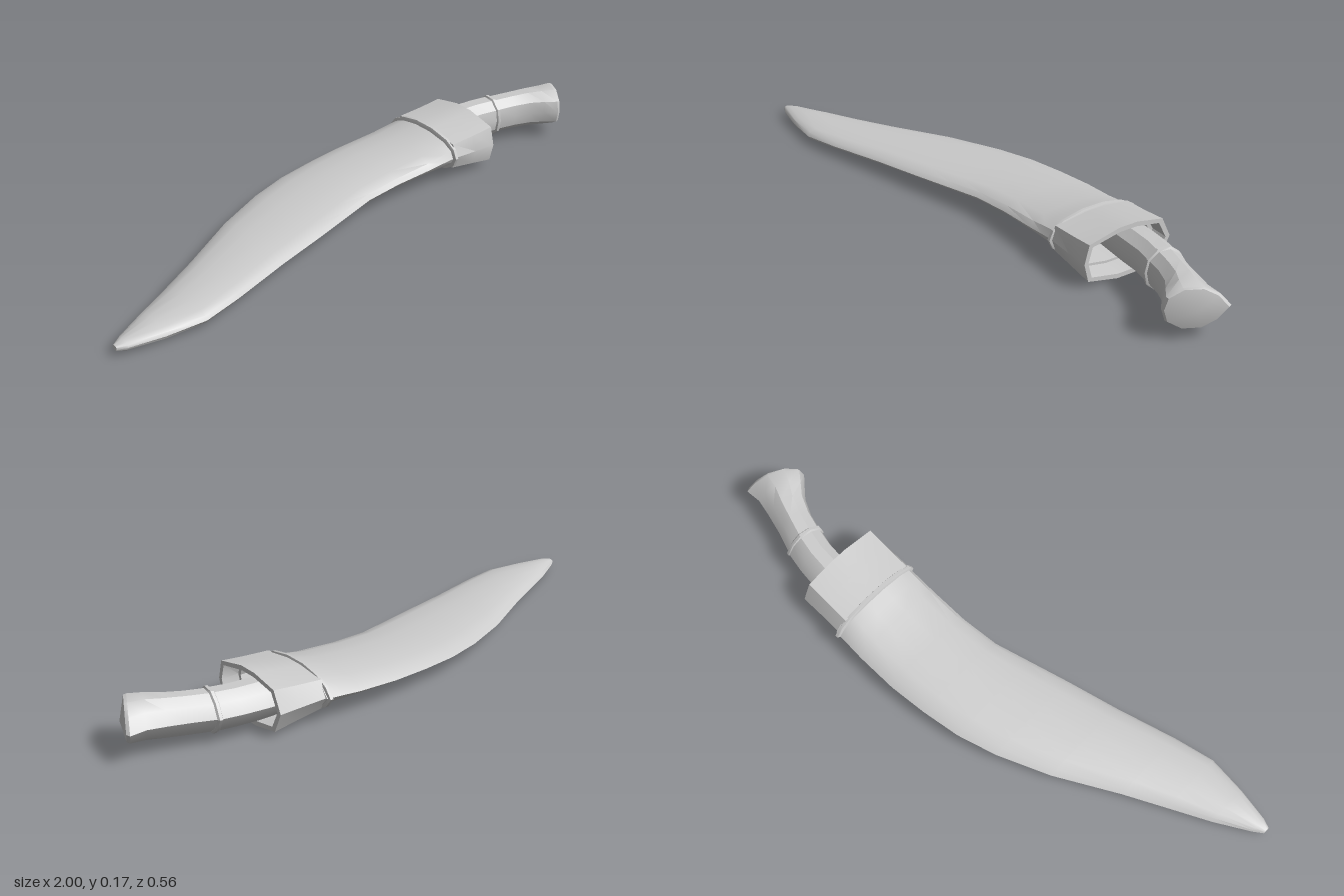
import * as THREE from 'three';
import { toCreasedNormals } from 'three/addons/utils/BufferGeometryUtils.js';

// Half profiles as [u, v]: u runs from front edge (1) to back edge (-1), v is half thickness
const mirror = (half) => [...half, ...half.slice(1, -1).reverse().map(([u, v]) => [u, -v])];
const LENS = mirror([[1, 0], [0.92, 0.45], [0.7, 0.78], [0.25, 1], [-0.2, 1], [-0.6, 0.8], [-0.85, 0.48], [-1, 0]]);
const MOUTH = mirror([[1, 0], [0.9, 0.72], [0.22, 1], [-0.2, 1], [-0.8, 0.78], [-1, 0]]);
const GRIP = mirror([[1, 0], [0.88, 0.6], [0.42, 1], [-0.18, 1], [-0.65, 0.62], [-1, 0]]);

// Loft through stations [xBack, zBack, xFront, zFront, yBottom, yTop], capped at both ends
function loft(profile, stations, crease = 0.6, bulge = 0) {
  const n = profile.length;
  const pos = [];
  const idx = [];
  for (const [xb, zb, xf, zf, y0, y1] of stations) {
    for (const [u, v] of profile) {
      const t = (u + 1) / 2;
      pos.push(xb + (xf - xb) * t, (y0 + y1) / 2 + v * (y1 - y0) / 2, zb + (zf - zb) * t);
    }
  }
  for (let i = 0; i < stations.length - 1; i++) {
    for (let j = 0; j < n; j++) {
      const a = i * n + j;
      const b = i * n + (j + 1) % n;
      idx.push(a, a + n, b, b, a + n, b + n);
    }
  }
  const last = stations.length - 1;
  for (const s of [0, last]) {
    const [xb, zb, xf, zf, y0, y1] = stations[s];
    const c = pos.length / 3;
    pos.push((xb + xf) / 2 + (s ? bulge : 0), (y0 + y1) / 2, (zb + zf) / 2 + (s ? bulge / 2 : 0));
    for (let j = 0; j < n; j++) {
      const a = s * n + j;
      const b = s * n + (j + 1) % n;
      if (s) idx.push(c, b, a);
      else idx.push(c, a, b);
    }
  }
  const g = new THREE.BufferGeometry();
  g.setAttribute('position', new THREE.Float32BufferAttribute(pos, 3));
  g.setIndex(idx);
  return toCreasedNormals(g, crease);
}

// Station square to the x axis
const at = (x, zb, zf, y0, y1) => [x, zb, x, zf, y0, y1];

export function createModel() {
  const group = new THREE.Group();
  const material = new THREE.MeshStandardMaterial({ color: 0xcccccc });
  const add = (name, geometry) => {
    const mesh = new THREE.Mesh(geometry, material);
    mesh.name = name;
    group.add(mesh);
  };

  // Curved sheath, from the thin tip to the collar
  add('sheath', loft(LENS, [
    at(-1, 0.212, 0.235, 0.018, 0.034),
    at(-0.97, 0.19, 0.247, 0.01, 0.042),
    at(-0.86, 0.125, 0.266, 0.004, 0.051),
    at(-0.73, 0.058, 0.276, 0.006, 0.058),
    at(-0.6, -0.01, 0.245, 0.012, 0.065),
    at(-0.4, -0.125, 0.185, 0.021, 0.075),
    at(-0.23, -0.2, 0.14, 0.028, 0.083),
    at(-0.1, -0.24, 0.103, 0.032, 0.09),
    at(0.03, -0.262, 0.066, 0.035, 0.098),
    at(0.16, -0.276, 0.052, 0.038, 0.107),
    at(0.3, -0.278, 0.05, 0.04, 0.12),
    at(0.36, -0.276, 0.05, 0.037, 0.134),
    at(0.42, -0.274, 0.05, 0.032, 0.148),
  ]));

  // Bead around the foot of the collar
  add('collarBead', loft(LENS, [
    at(0.4, -0.275, 0.05, 0.031, 0.147),
    at(0.404, -0.284, 0.06, 0.02, 0.157),
    at(0.414, -0.284, 0.06, 0.02, 0.157),
    at(0.418, -0.27, 0.05, 0.031, 0.147),
  ]));

  // Flared hollow collar: outer wall, lip, then stepped inner wall and floor
  add('collar', loft(MOUTH, [
    at(0.41, -0.268, 0.052, 0.03, 0.15),
    at(0.5, -0.266, 0.053, 0.015, 0.16),
    at(0.58, -0.266, 0.054, 0, 0.172),
    at(0.58, -0.25, 0.04, 0.015, 0.157),
    at(0.52, -0.25, 0.04, 0.022, 0.15),
    at(0.52, -0.236, 0.028, 0.03, 0.142),
    at(0.44, -0.236, 0.028, 0.036, 0.138),
  ]));

  // Front part of the grip, rooted inside the collar
  add('gripNeck', loft(GRIP, [
    at(0.43, -0.222, -0.09, 0.032, 0.145),
    at(0.58, -0.215, -0.08, 0.028, 0.152),
    [0.66, -0.207, 0.65, -0.076, 0.03, 0.153],
    [0.735, -0.193, 0.715, -0.062, 0.03, 0.155],
  ]));

  // Ring between the two grip parts
  add('gripRing', loft(GRIP, [
    [0.726, -0.192, 0.706, -0.066, 0.03, 0.154],
    [0.73, -0.198, 0.71, -0.058, 0.024, 0.16],
    [0.739, -0.196, 0.719, -0.056, 0.024, 0.16],
    [0.743, -0.188, 0.723, -0.063, 0.03, 0.154],
  ]));

  // Curved grip flaring to a slanted pommel
  add('grip', loft(GRIP, [
    [0.735, -0.19, 0.715, -0.064, 0.031, 0.154],
    [0.81, -0.165, 0.78, -0.047, 0.034, 0.158],
    [0.88, -0.147, 0.835, -0.022, 0.037, 0.163],
    [0.94, -0.134, 0.87, 0.008, 0.039, 0.167],
    [0.995, -0.138, 0.905, 0.038, 0.039, 0.168],
    [1, -0.125, 0.915, 0.036, 0.042, 0.166],
  ], 0.6, 0.014));

  return group;
}
